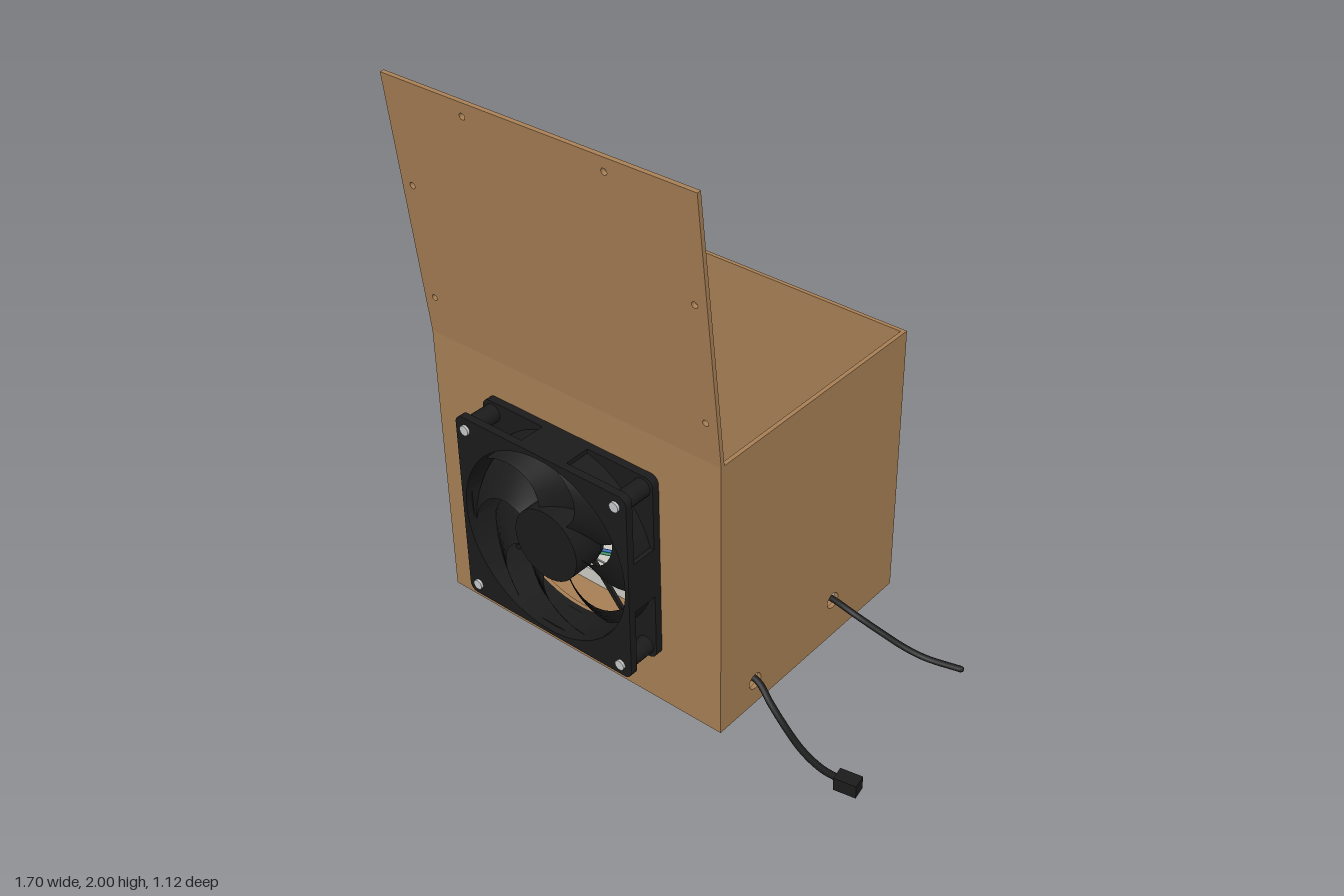
import * as THREE from 'three';

const paint = (name, hex, extra = {}) => {
  const m = new THREE.MeshStandardMaterial({ color: hex, ...extra });
  m.name = name;
  return m;
};

export function createModel() {
  const root = new THREE.Group();
  root.name = 'fanBox';
  const wood = paint('wood', 0xa67e54);
  const black = paint('black', 0x1b1b1c, { side: THREE.DoubleSide });
  const white = paint('boardWhite', 0xcbcac2);
  const silver = paint('silver', 0xc4c6c8);
  const blue = paint('blue', 0x1f5fae);
  const red = paint('red', 0x8e1616);
  const yellow = paint('yellow', 0xb59a3c);
  const green = paint('green', 0x1f8550);
  const grey = paint('grey', 0x77777a);

  const add = (name, geo, mat, x = 0, y = 0, z = 0, parent = root) => {
    const m = new THREE.Mesh(geo, mat);
    m.name = name;
    m.position.set(x, y, z);
    parent.add(m);
    return m;
  };
  // box given by its lower and upper corners
  const block = (name, mat, x0, x1, y0, y1, z0, z1) =>
    add(name, new THREE.BoxGeometry(x1 - x0, y1 - y0, z1 - z0), mat,
      (x0 + x1) / 2, (y0 + y1) / 2, (z0 + z1) / 2);
  const wire = (name, mat, r, pts) => {
    const curve = new THREE.CatmullRomCurve3(pts.map(p => new THREE.Vector3(...p)));
    add(name, new THREE.TubeGeometry(curve, 32, r, 8), mat);
    for (const p of [pts[0], pts.at(-1)]) add(name + 'End', new THREE.SphereGeometry(r, 8, 6), mat, ...p);
  };
  // flat sheet with round holes [x, y, r]
  const sheet = (x0, x1, y0, y1, depth, holes = []) => {
    const s = new THREE.Shape([[x0, y0], [x1, y0], [x1, y1], [x0, y1]].map(p => new THREE.Vector2(...p)));
    for (const [x, y, r] of holes) s.holes.push(new THREE.Path().absarc(x, y, r, 0, Math.PI * 2, true));
    return new THREE.ExtrudeGeometry(s, { depth, bevelEnabled: false, curveSegments: 32 });
  };

  // ---- Wooden case ----
  const T = 0.015, L = -0.853, R = 0.345, H = 1.057, B = -0.56, F = 0.4;
  const cx = -0.255, cy = 0.555;
  block('floor', wood, L, R, 0, T, B, F);
  block('backWall', wood, L, R, T, H, B, B + T);
  block('rightWall', wood, L, L + T, T, H, B + T, F - T);
  add('frontWall', sheet(L, R, T, H, T, [[cx, cy, 0.345], [-0.675, 0.15, 0.022]]), wood, 0, 0, F - T);
  add('leftWall', sheet(-F + T, -B - T, T, H, T, [[-0.22, 0.095, 0.03], [0.205, 0.155, 0.03]]),
    wood, R - T).rotation.y = Math.PI / 2;

  // opened lid leaning forward
  const lidHoles = [[-0.525, 0.9], [0.015, 0.9], [-0.808, 0.57], [0.3, 0.57], [-0.808, 0.15], [0.3, 0.15]]
    .map(h => [...h, 0.011]);
  add('lid', sheet(L, R, 0, 0.948, T, lidHoles), wood, 0, H, F - T).rotation.x = 0.108;

  // ---- Fan ----
  const fan = new THREE.Group();
  fan.name = 'fan';
  fan.position.set(cx, cy, F);
  root.add(fan);
  const half = 0.358, c = 0.03;
  const frame = new THREE.Shape();
  frame.moveTo(-half + c, -half);
  for (const [x, y, a] of [[1, -1, -0.5], [1, 1, 0], [-1, 1, 0.5], [-1, -1, 1]])
    frame.absarc(x * (half - c), y * (half - c), c, a * Math.PI, (a + 0.5) * Math.PI, false);
  frame.holes.push(new THREE.Path().absarc(0, 0, 0.343, 0, Math.PI * 2, true));
  const extrude = (s, depth) => new THREE.ExtrudeGeometry(s, { depth, bevelEnabled: false, curveSegments: 32 });
  add('rearFlange', extrude(frame, 0.028), black, 0, 0, 0, fan);
  add('frontFlange', extrude(frame, 0.028), black, 0, 0, 0.122, fan);
  const ring = new THREE.Shape().absarc(0, 0, 0.356, 0, Math.PI * 2, false);
  ring.holes.push(new THREE.Path().absarc(0, 0, 0.343, 0, Math.PI * 2, true));
  add('barrel', extrude(ring, 0.1), black, 0, 0, 0.025, fan);
  for (const sx of [-1, 1]) {
    add('sidePad', new THREE.BoxGeometry(0.02, 0.19, 0.1), black, sx * 0.348, 0, 0.075, fan);
    add('endPad', new THREE.BoxGeometry(0.19, 0.02, 0.1), black, 0, sx * 0.348, 0.075, fan);
    for (const sy of [-1, 1]) {
      const x = sx * 0.315, y = sy * 0.315;
      const turned = (r, h) => new THREE.CylinderGeometry(r, r, h, 16).rotateX(Math.PI / 2);
      add('cornerPost', turned(0.033, 0.1), black, x, y, 0.075, fan);
      add('screwHead', turned(0.018, 0.012), silver, x, y, 0.153, fan);
      add('screwShank', turned(0.008, 0.05), silver, x, y, -0.02, fan);
      add('nut', new THREE.CylinderGeometry(0.018, 0.018, 0.014, 6).rotateX(Math.PI / 2), silver, x, y, -0.023, fan);
    }
  }
  add('hub', new THREE.CylinderGeometry(0.132, 0.132, 0.115, 40).rotateX(Math.PI / 2), black, 0, 0, 0.0825, fan);
  add('motorBase', new THREE.CylinderGeometry(0.125, 0.125, 0.02, 40).rotateX(Math.PI / 2), black, 0, 0, 0.012, fan);
  for (let i = 0; i < 4; i++) {
    const a = Math.PI * (0.22 + i / 2);
    add('strut', new THREE.BoxGeometry(0.24, 0.016, 0.012), black,
      0.23 * Math.cos(a), 0.23 * Math.sin(a), 0.01, fan).rotation.z = a;
  }
  // seven swept, pitched blades
  const step = Math.PI * 2 / 7;
  for (let i = 0; i < 7; i++) {
    const g = new THREE.PlaneGeometry(1, 1, 10, 10), p = g.attributes.position;
    for (let k = 0; k < p.count; k++) {
      const u = p.getX(k) + 0.5, v = p.getY(k) + 0.5;
      const r = 0.125 + 0.212 * v;
      const gap = 0.05 + 0.11 * Math.sin(Math.PI * v);
      const a = i * step + 0.95 + 0.62 * v * v + gap / 2 + u * (step - gap);
      p.setXYZ(k, r * Math.cos(a), r * Math.sin(a), 0.04 + 0.085 * u);
    }
    g.computeVertexNormals();
    add('blade', g, black, 0, 0, 0, fan);
  }

  // ---- Breadboards ----
  for (const [z0, z1, groove] of [[-0.53, -0.265, -0.472], [-0.15, 0.11, 0.055]]) {
    block('breadboard', white, -0.75, 0.24, T, 0.07, z0, z1);
    block('boardGroove', grey, -0.75, 0.24, 0.07, 0.072, groove - 0.004, groove + 0.004);
  }

  // ---- Controller board ----
  block('controllerBoard', black, -0.26, 0.07, 0.128, 0.14, -0.295, -0.13);
  block('antenna', yellow, -0.255, -0.225, 0.14, 0.143, -0.255, -0.165);
  block('radioShield', silver, -0.22, -0.1, 0.14, 0.158, -0.265, -0.155);
  block('usbSocket', silver, 0.035, 0.075, 0.14, 0.165, -0.235, -0.185);
  for (const z of [-0.283, -0.142]) {
    block('pinHeader', black, -0.24, 0.05, 0.105, 0.128, z - 0.008, z + 0.008);
    for (let i = 0; i < 15; i++) {
      const x = -0.235 + i * 0.02;
      block('pin', silver, x - 0.003, x + 0.003, 0.065, 0.144, z - 0.003, z + 0.003);
    }
  }
  block('controllerChip', grey, -0.03, 0, 0.14, 0.146, -0.225, -0.195);

  // ---- Converter board on standoffs ----
  block('converterBoard', blue, 0.03, 0.185, 0.06, 0.07, 0.18, 0.315);
  for (const x of [0.047, 0.168]) for (const z of [0.197, 0.3])
    add('standoff', new THREE.CylinderGeometry(0.012, 0.012, 0.063, 12), silver, x, 0.0465, z);
  block('converterChip', black, 0.06, 0.09, 0.07, 0.085, 0.235, 0.265);
  block('converterCoil', black, 0.115, 0.145, 0.07, 0.09, 0.25, 0.275);
  for (const x of [0.08, 0.11]) block('terminal', green, x, x + 0.026, 0.07, 0.105, 0.28, 0.308);

  // ---- Socket board by the front wall ----
  block('socketBoard', blue, 0.155, 0.28, 0.04, 0.16, 0.362, 0.376);
  block('socket', black, 0.215, 0.275, 0.06, 0.14, 0.27, 0.362);

  // ---- Resistor board and temperature probe ----
  block('resistorBoard', wood, -0.27, -0.09, T, 0.03, 0.17, 0.285);
  add('resistor', new THREE.CapsuleGeometry(0.008, 0.03, 4, 10).rotateZ(Math.PI / 2), yellow, -0.18, 0.04, 0.23);
  for (const x of [-0.19, -0.18, -0.17]) block('resistorBand', red, x - 0.002, x + 0.002, 0.032, 0.049, 0.222, 0.238);
  add('probe', new THREE.CapsuleGeometry(0.016, 0.28, 6, 16).rotateZ(Math.PI / 2), silver, -0.405, 0.035, 0.325);
  wire('probeLead', black, 0.013, [[-0.26, 0.035, 0.325], [-0.215, 0.037, 0.323], [-0.19, 0.042, 0.3], [-0.18, 0.045, 0.265]]);

  // ---- Fan lead: outside, through the wall, connector ----
  [blue, yellow, green, black].forEach((m, i) => {
    const d = (i - 1.5) * 0.009;
    wire('fanLead', m, 0.006, [[-0.6, 0.32 + d, 0.425], [-0.64, 0.315 + d, 0.42], [-0.668 + d, 0.27, 0.42],
      [-0.68 + d, 0.2, 0.425], [-0.675 + d, 0.155, 0.41], [-0.675 + d, 0.15, 0.36],
      [-0.71 + d, 0.14, 0.33], [-0.735 + d, 0.13, 0.27], [-0.735 + d, 0.12, 0.21]]);
  });
  block('fanConnector', black, -0.765, -0.705, 0.1, 0.155, 0.24, 0.295);

  // ---- Jumper wires ----
  const w = 0.006;
  wire('blueJumper', blue, w, [[-0.74, 0.12, 0.23], [-0.71, 0.13, 0.175], [-0.4, 0.13, 0.035], [-0.1, 0.1, -0.1]]);
  wire('greenJumper', green, w, [[-0.72, 0.12, 0.21], [-0.69, 0.12, 0.17], [-0.4, 0.12, 0.04], [-0.16, 0.075, -0.085]]);
  wire('blackJumper', black, w, [[-0.74, 0.12, 0.22], [-0.72, 0.12, 0.16], [-0.665, 0.09, 0.095]]);
  wire('redJumper', red, w, [[-0.225, 0.075, -0.075], [-0.225, 0.09, 0], [-0.225, 0.075, 0.085]]);
  wire('blackJumper', black, w, [[-0.025, 0.075, -0.08], [-0.025, 0.09, 0], [-0.025, 0.075, 0.1]]);
  wire('redJumper', red, w, [[-0.395, 0.08, 0.075], [-0.3, 0.09, 0.125], [-0.17, 0.04, 0.185]]);
  wire('redJumper', red, w, [[-0.04, 0.075, -0.345], [-0.05, 0.17, -0.27], [-0.1, 0.17, -0.1], [-0.15, 0.12, 0.05], [-0.185, 0.04, 0.18]]);
  [[yellow, -0.195, 0.06], [white, -0.185, 0.08], [blue, -0.145, 0.1], [green, -0.15, 0.24], [yellow, -0.19, 0.22]]
    .forEach(([m, x, end], i) => wire('signalJumper', m, w, [[x, 0.075, -0.335], [x + 0.015, 0.17, -0.28],
      [-0.1 + i * 0.008, 0.18, -0.12], [0.02 + i * 0.015, 0.14, 0.07], [end, 0.1, i < 3 ? 0.2 : 0.26]]));
  for (const [m, x, z] of [[red, 0.145, 0.075], [black, 0.19, 0.095], [red, 0.165, 0.095]])
    wire('powerJumper', m, w, [[x, 0.075, z], [x + 0.025, 0.12, z + 0.05], [x + 0.065, 0.12, 0.21], [x + 0.07, 0.1, 0.28]]);
  [red, black].forEach((m, i) => wire('converterLead', m, w, [[0.07 + i * 0.02, 0.075, 0.1], [0.075 + i * 0.02, 0.1, 0.15], [0.08 + i * 0.02, 0.075, 0.2]]));
  wire('yellowLead', yellow, w, [[-0.73, 0.12, 0.27], [-0.69, 0.08, 0.34], [-0.58, 0.05, 0.372], [-0.2, 0.04, 0.372], [0.08, 0.05, 0.365], [0.1, 0.08, 0.3]]);
  wire('blueLead', blue, w, [[-0.75, 0.12, 0.28], [-0.72, 0.11, 0.34], [-0.67, 0.12, 0.37]]);

  // ---- Cables leaving the case ----
  block('usbPlug', black, 0.07, 0.142, 0.135, 0.172, -0.237, -0.178);
  wire('usbCable', black, 0.011, [[0.14, 0.155, -0.207], [0.25, 0.157, -0.213], [0.345, 0.158, -0.208], [0.43, 0.142, -0.207],
    [0.52, 0.09, -0.238], [0.6, 0.04, -0.272], [0.67, 0.015, -0.297], [0.79, 0.012, -0.328]]);
  wire('powerCable', black, 0.012, [[0.24, 0.1, 0.27], [0.27, 0.1, 0.225], [0.345, 0.095, 0.213], [0.42, 0.052, 0.235],
    [0.5, 0.024, 0.265], [0.6, 0.013, 0.307], [0.7, 0.014, 0.335], [0.78, 0.024, 0.343]]);
  add('powerPlug', new THREE.BoxGeometry(0.078, 0.05, 0.05), black, 0.805, 0.026, 0.343).rotation.y = 0.18;
  return root;
}
